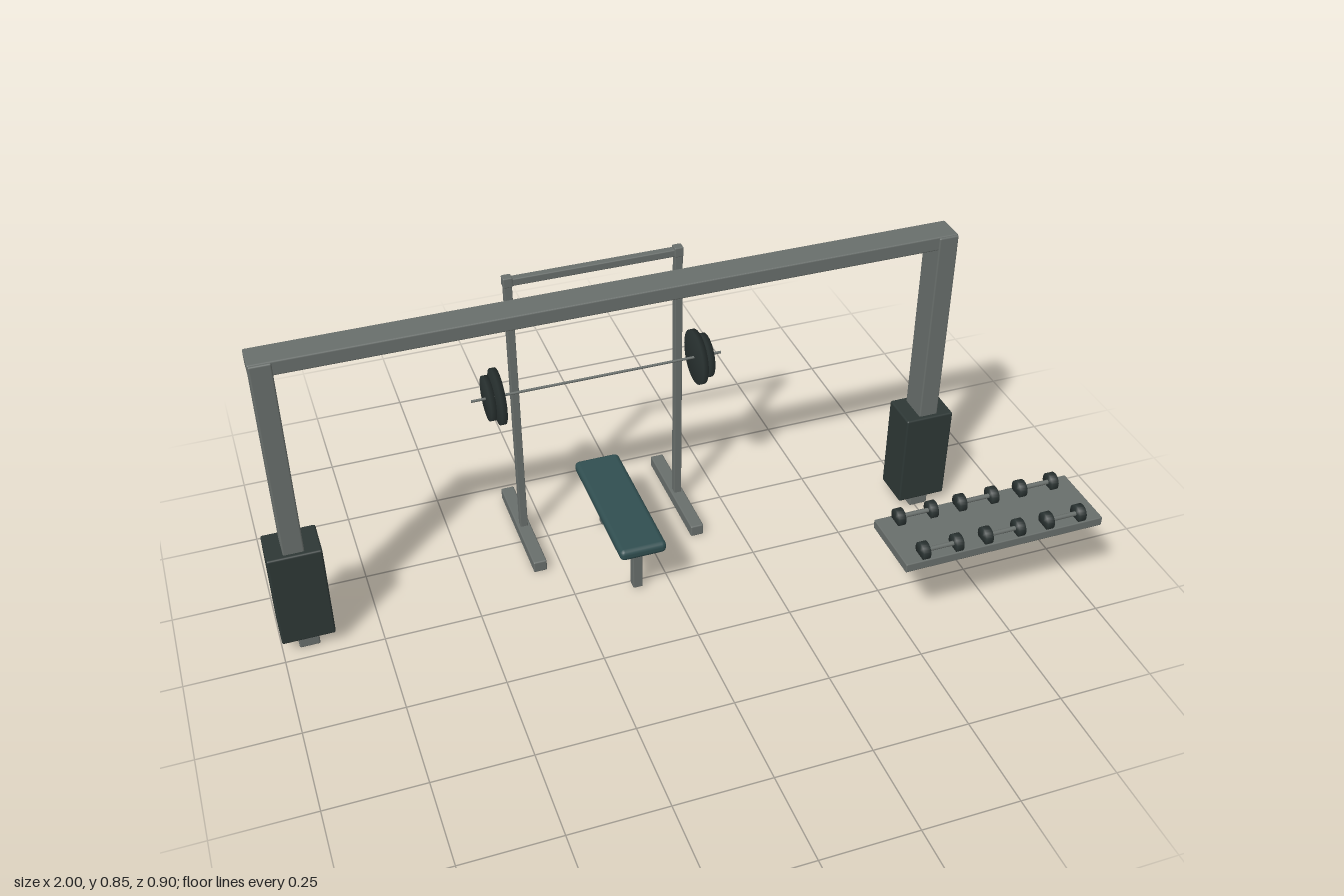
import * as THREE from 'three';
import { mergeVertices } from 'three/addons/utils/BufferGeometryUtils.js';
import { RoundedBoxGeometry } from 'three/addons/geometries/RoundedBoxGeometry.js';

const material = (name, color) => new THREE.MeshStandardMaterial({ name, color });

export function createModel() {
  const steel = material('grey steel', 0x686e6b);
  const padding = material('dark padding', 0x2d3735);
  const iron = material('dark iron', 0x2a3332);
  const vinyl = material('teal vinyl', 0x304e50);

  const root = new THREE.Group();
  root.name = 'gymEquipment';
  const group = (name) => {
    const g = new THREE.Group();
    g.name = name;
    root.add(g);
    return g;
  };

  // Softly bevelled box given by its extents on each axis
  const box = (parent, name, mat, [x0, x1], [y0, y1], [z0, z1], radius = 0.004) => {
    const geo = new RoundedBoxGeometry(x1 - x0, y1 - y0, z1 - z0, 2, radius);
    const mesh = new THREE.Mesh(geo, mat);
    mesh.name = name;
    mesh.position.set((x0 + x1) / 2, (y0 + y1) / 2, (z0 + z1) / 2);
    parent.add(mesh);
    return mesh;
  };

  // Cylinder lying along x; soft ones share normals over the rim
  const rod = (parent, name, mat, x, y, z, radius, length, sides, soft = false) => {
    let geo = new THREE.CylinderGeometry(radius, radius, length, sides);
    if (soft) {
      geo.deleteAttribute('normal');
      geo.deleteAttribute('uv');
      geo = mergeVertices(geo, 1e-5);
      geo.computeVertexNormals();
    }
    geo.rotateZ(Math.PI / 2);
    const mesh = new THREE.Mesh(geo, mat);
    mesh.name = name;
    mesh.position.set(x, y, z);
    parent.add(mesh);
    return mesh;
  };

  // Wide gantry: two padded columns and a beam
  const gantry = group('gantry');
  for (const x of [-0.932, 0.76]) {
    box(gantry, 'gantryColumn', steel, [x - 0.026, x + 0.026], [0, 0.849], [-0.12, -0.038]);
    box(gantry, 'columnPad', padding, [x - 0.067, x + 0.067], [0.035, 0.306], [-0.133, -0.026], 0.005);
  }
  box(gantry, 'gantryBeam', steel, [-0.96, 0.786], [0.814, 0.852], [-0.117, -0.042]);

  // Lifting rack: two uprights on long feet, joined at the top
  const rack = group('liftingRack');
  for (const x of [-0.309, 0.133]) {
    box(rack, 'rackUpright', steel, [x - 0.01, x + 0.01], [0.02, 0.8], [-0.294, -0.272], 0.002);
    box(rack, 'rackFoot', steel, [x - 0.018, x + 0.018], [0, 0.033], [-0.452, -0.116]);
    box(rack, 'uprightCap', steel, [x - 0.012, x + 0.012], [0.786, 0.813], [-0.295, -0.271], 0.003);
  }
  box(rack, 'rackCrossbar', steel, [-0.309, 0.133], [0.788, 0.808], [-0.293, -0.273], 0.003);

  // Barbell with a large and a small plate on each end
  const barbell = group('barbell');
  const barX = -0.088, barY = 0.478, barZ = -0.268;
  rod(barbell, 'bar', steel, barX, barY, barZ, 0.0035, 0.675, 12);
  for (const side of [-1, 1]) {
    rod(barbell, 'largePlate', iron, barX + side * 0.269, barY, barZ, 0.074, 0.014, 32, true);
    rod(barbell, 'smallPlate', iron, barX + side * 0.293, barY, barZ, 0.059, 0.014, 32, true);
  }

  // Flat bench
  const bench = group('bench');
  box(bench, 'benchCushion', vinyl, [-0.15, -0.026], [0.151, 0.183], [-0.317, 0.089], 0.013);
  for (const z of [0.023, -0.249]) {
    box(bench, 'benchLeg', steel, [-0.101, -0.075], [0.006, 0.158], [z - 0.013, z + 0.013], 0.003);
  }

  // Dumbbell tray with two rows of three
  const tray = group('dumbbellTray');
  box(tray, 'trayShelf', steel, [0.457, 1], [0.243, 0.268], [0.27, 0.453], 0.003);
  for (const z of [0.43, 0.295]) {
    for (const x of [0.557, 0.727, 0.897]) {
      rod(tray, 'dumbbellHandle', steel, x, 0.281, z, 0.006, 0.09, 12);
      for (const side of [-1, 1]) {
        rod(tray, 'dumbbellHead', iron, x + side * 0.045, 0.281, z, 0.023, 0.019, 20, true);
      }
    }
  }
  return root;
}
